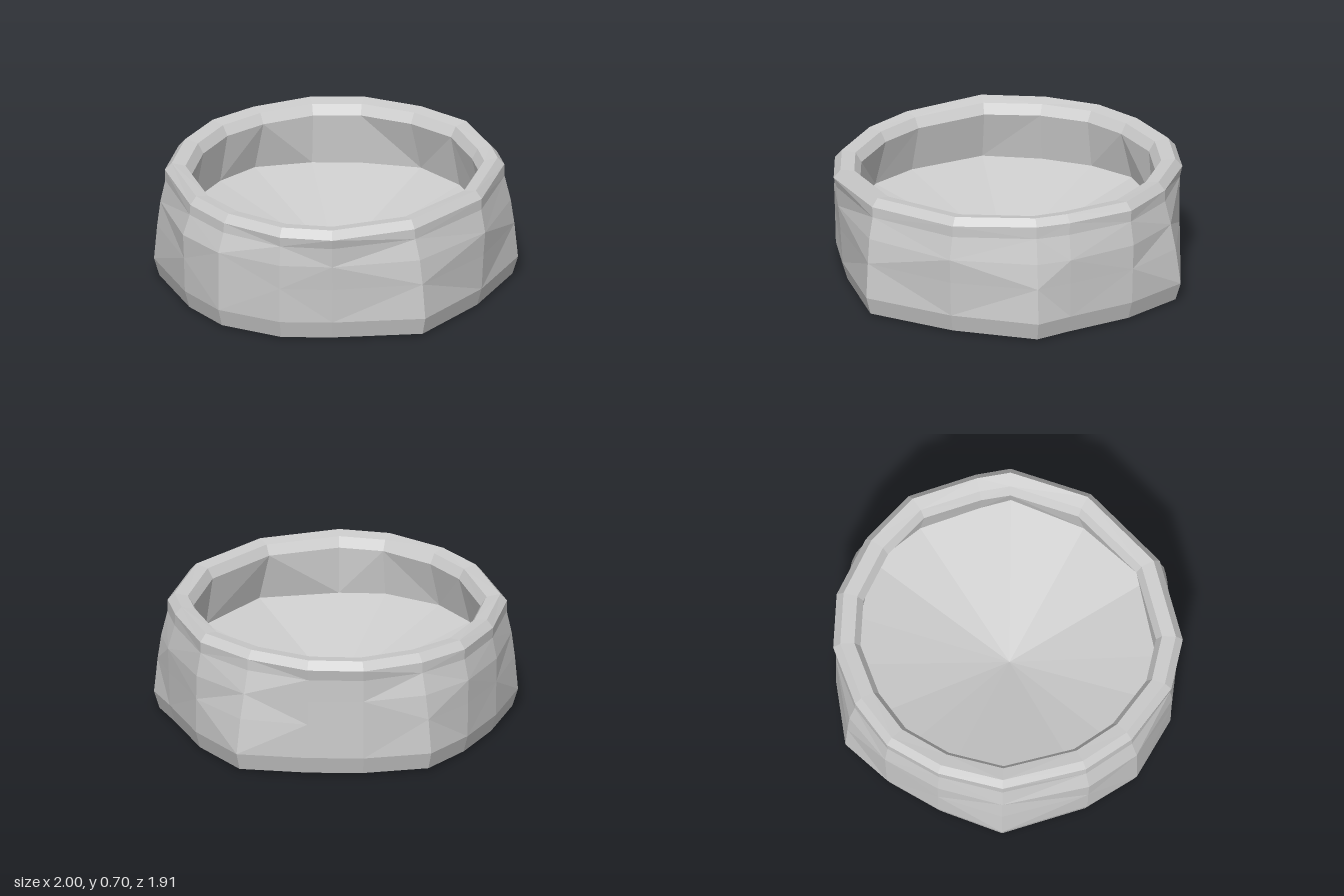
import * as THREE from 'three';

// Plan outlines as [x, z], sixteen corners, running from the back round by +x.
// The foot is a soft hexagon, the waist bulges and the rim is nearly round.
const FOOT = [
  [-0.17, -0.945], [0.14, -0.945], [0.53, -0.90], [0.76, -0.60],
  [0.91, -0.24], [1.00, -0.05], [0.81, 0.41], [0.51, 0.84],
  [0.00, 0.905], [-0.29, 0.905], [-0.63, 0.74], [-0.82, 0.48],
  [-1.00, 0.02], [-0.885, -0.34], [-0.735, -0.63], [-0.54, -0.87],
];
const WAIST = [
  [-0.17, -0.945], [0.14, -0.945], [0.49, -0.85], [0.755, -0.61],
  [0.92, -0.24], [0.96, -0.05], [0.83, 0.42], [0.48, 0.82],
  [0.00, 0.93], [-0.29, 0.915], [-0.63, 0.74], [-0.83, 0.49],
  [-0.965, 0.02], [-0.89, -0.34], [-0.74, -0.64], [-0.51, -0.85],
];
const RIM = [
  [-0.17, -0.96], [0.14, -0.96], [0.47, -0.82], [0.735, -0.60],
  [0.88, -0.24], [0.925, -0.05], [0.81, 0.40], [0.45, 0.80],
  [0.00, 0.955], [-0.29, 0.91], [-0.60, 0.71], [-0.79, 0.47],
  [-0.94, 0.02], [-0.87, -0.34], [-0.72, -0.63], [-0.49, -0.82],
];

// One cross-section, blended from one outline to another and scaled.
// Rings near the rim tilt slightly and rise at the two side corners.
function ring(y, from, to, blend, scale) {
  const rise = to === RIM ? blend : 0;
  return from.map(([fx, fz], i) => {
    const x = THREE.MathUtils.lerp(fx, to[i][0], blend) * scale;
    const z = THREE.MathUtils.lerp(fz, to[i][1], blend) * scale;
    return [x, y + rise * (0.012 * x + 0.035 * x ** 8 - 0.011 * z), z];
  });
}

// A ring shrunk to a point closes the surface.
const tip = (y) => FOOT.map(() => [0, y, 0]);

// Skin neighbouring rings with triangles, alternating the diagonals.
function loft(name, rings, material) {
  const positions = [];
  const n = FOOT.length;
  const isTip = (r) => r[0][0] === 0 && r[0][2] === 0;
  for (let j = 0; j < rings.length - 1; j++) {
    const low = rings[j], high = rings[j + 1];
    for (let i = 0; i < n; i++) {
      const k = (i + 1) % n;
      const a = low[i], b = low[k], c = high[k], d = high[i];
      if (isTip(low)) positions.push(...a, ...d, ...c);
      else if (isTip(high)) positions.push(...a, ...d, ...b);
      else if ((i + j) % 2) positions.push(...a, ...d, ...c, ...a, ...c, ...b);
      else positions.push(...a, ...d, ...b, ...b, ...d, ...c);
    }
  }
  const geometry = new THREE.BufferGeometry();
  geometry.setAttribute('position', new THREE.Float32BufferAttribute(positions, 3));
  geometry.computeVertexNormals();
  const mesh = new THREE.Mesh(geometry, material);
  mesh.name = name;
  return mesh;
}

export function createModel() {
  const model = new THREE.Group();
  model.name = 'bowl';
  const material = new THREE.MeshStandardMaterial({ color: 0xcccccc, flatShading: true });

  // Shared edges between the parts
  const footEdge = ring(0.01, FOOT, WAIST, 0, 0.97);
  const rimEdge = ring(0.63, WAIST, RIM, 1, 1);
  const innerEdge = ring(0.61, WAIST, RIM, 1, 0.845);
  const floorEdge = ring(0.33, FOOT, WAIST, 0.5, 0.88);

  model.add(
    // Flat underside
    loft('underside', [tip(0), footEdge], material),
    // Outer wall, bevelled at the foot and bulging a little below the rim
    loft('outerWall', [
      footEdge,
      ring(0.11, FOOT, WAIST, 0, 1),
      ring(0.31, FOOT, WAIST, 0.5, 1),
      ring(0.45, FOOT, WAIST, 1, 1),
      ring(0.57, WAIST, RIM, 0.7, 0.99),
      rimEdge,
    ], material),
    // Rim with a bevel on both sides of its flat top
    loft('rim', [
      rimEdge,
      ring(0.675, WAIST, RIM, 1, 0.96),
      ring(0.665, WAIST, RIM, 1, 0.88),
      innerEdge,
    ], material),
    // Inner wall and dished floor
    loft('innerWall', [innerEdge, floorEdge], material),
    loft('floor', [floorEdge, tip(0.1)], material),
  );
  return model;
}
